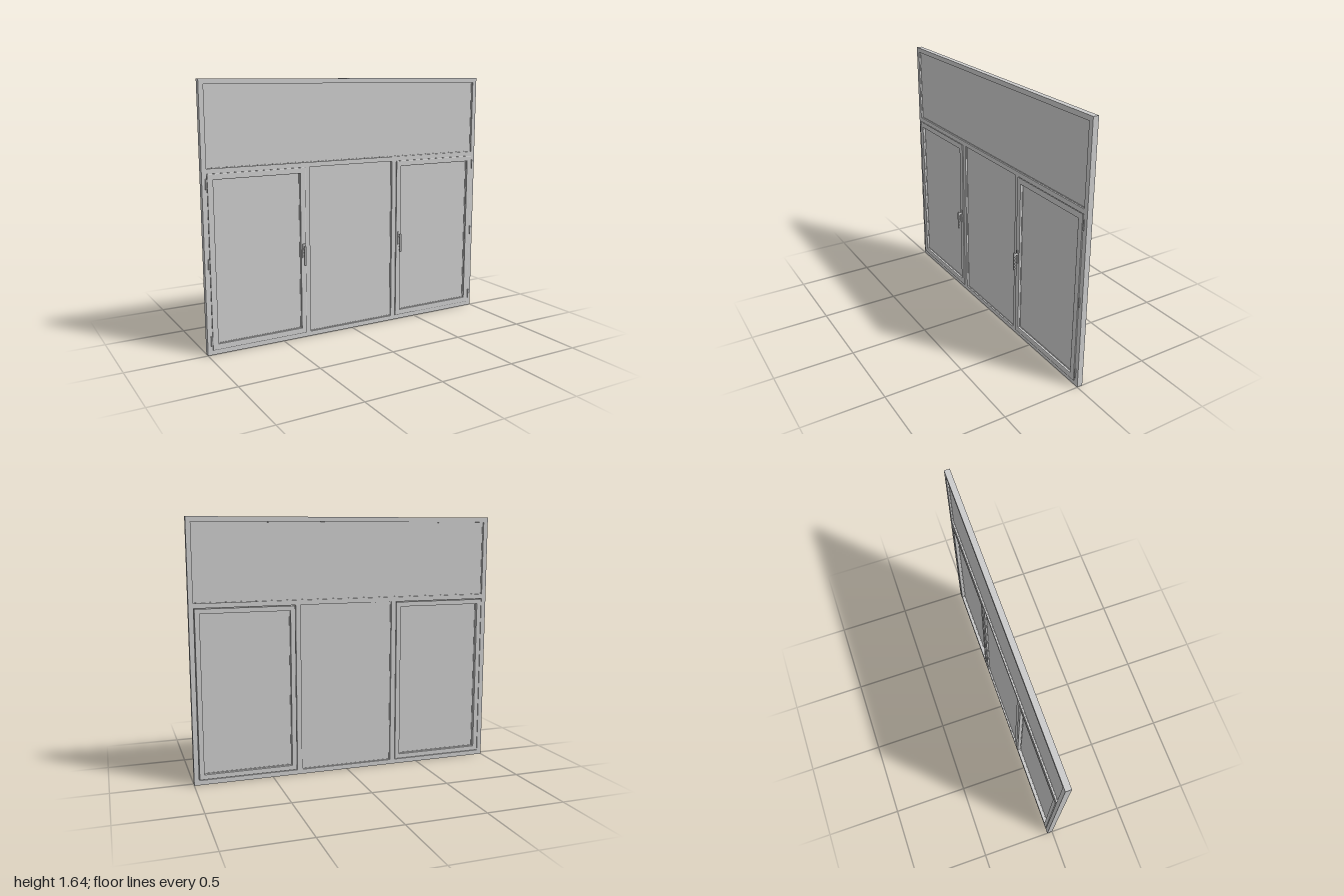
import * as THREE from 'three';

const material = new THREE.MeshStandardMaterial({ color: 0xcccccc });

function add(parent, geometry, name) {
  const mesh = new THREE.Mesh(geometry, material);
  mesh.name = name;
  parent.add(mesh);
  return mesh;
}

// Rectangles are [x0, y0, x1, y1]
function outline(target, [x0, y0, x1, y1]) {
  target.moveTo(x0, y0);
  target.lineTo(x1, y0);
  target.lineTo(x1, y1);
  target.lineTo(x0, y1);
  target.closePath();
  return target;
}

const inset = ([x0, y0, x1, y1], d) => [x0 + d, y0 + d, x1 - d, y1 - d];

// Flat slab from z0 to z1 with rectangular openings
function slab(parent, name, rect, holes, z0, z1) {
  const shape = outline(new THREE.Shape(), rect);
  for (const hole of holes) shape.holes.push(outline(new THREE.Path(), hole));
  const geometry = new THREE.ExtrudeGeometry(shape, { depth: z1 - z0, bevelEnabled: false });
  geometry.translate(0, 0, z0);
  return add(parent, geometry, name);
}

function box(parent, name, size, position) {
  const mesh = add(parent, new THREE.BoxGeometry(...size), name);
  mesh.position.set(...position);
  return mesh;
}

// Glass with a narrow gasket on both sides
function pane(parent, name, rect, z0, z1) {
  slab(parent, name, inset(rect, -0.004), [], z0, z1);
  const inner = inset(rect, 0.004);
  slab(parent, name + 'FrontGasket', inset(rect, -0.002), [inner], z1, z1 + 0.003);
  slab(parent, name + 'BackGasket', inset(rect, -0.002), [inner], z0 - 0.003, z0);
}

// Lever handle: base plate, neck and grip with finger waves
function handle(parent, x) {
  const group = new THREE.Group();
  group.name = 'handle';
  box(group, 'handlePlate', [0.015, 0.09, 0.005], [0, 0.575, 0.011]);
  const neck = add(group, new THREE.CylinderGeometry(0.0075, 0.009, 0.02, 16), 'handleNeck');
  neck.rotation.x = Math.PI / 2;
  neck.position.set(0, 0.593, 0.021);

  const profile = new THREE.Shape();
  profile.moveTo(0.026, 0.603);
  profile.lineTo(0.032, 0.61);
  profile.lineTo(0.038, 0.604);
  profile.lineTo(0.038, 0.488);
  profile.lineTo(0.035, 0.483);
  profile.lineTo(0.031, 0.485);
  for (let i = 0; i <= 32; i++) {
    const t = i / 32;
    profile.lineTo(0.0295 + 0.0018 * Math.cos(t * Math.PI * 8), 0.488 + 0.09 * t);
  }
  profile.lineTo(0.026, 0.583);
  const grip = new THREE.ExtrudeGeometry(profile, { depth: 0.012, bevelEnabled: false });
  grip.translate(0, 0, -0.006);
  grip.rotateY(-Math.PI / 2);
  add(group, grip, 'handleGrip');
  group.position.x = x;
  parent.add(group);
}

// Casement on one side (s = 1 or -1)
function casement(s) {
  const group = new THREE.Group();
  group.name = s > 0 ? 'leftCasement' : 'rightCasement';
  const mirror = ([x0, y0, x1, y1]) => (s > 0 ? [x0, y0, x1, y1] : [-x1, y0, -x0, y1]);
  const outer = mirror([0.34, 0.031, 0.968, 1.101]);
  const opening = mirror([0.373, 0.064, 0.935, 1.068]);

  // Sash body and its bevelled front lip
  slab(group, 'sashBody', inset(outer, 0.003), [opening], -0.038, 0.002);
  const lip = outline(new THREE.Shape(), inset(outer, 0.002));
  lip.holes.push(outline(new THREE.Path(), inset(opening, -0.002)));
  const lipGeometry = new THREE.ExtrudeGeometry(lip, {
    depth: 0.005, bevelEnabled: true, bevelThickness: 0.002, bevelSize: 0.003, bevelSegments: 1,
  });
  lipGeometry.translate(0, 0, 0.002);
  add(group, lipGeometry, 'sashLip');
  pane(group, 'sashGlass', opening, -0.015, -0.01);

  // Hinges on the outer edge
  for (const y of [0.088, 0.566, 1.043]) {
    const hinge = add(group, new THREE.CylinderGeometry(0.0045, 0.0045, 0.062, 12), 'hinge');
    hinge.position.set(s * 0.977, y, 0.004);
    box(group, 'hingeLeaf', [0.012, 0.05, 0.003], [s * 0.972, y, 0.002]);
  }
  handle(group, s * 0.358);
  return group;
}

export function createModel() {
  const model = new THREE.Group();
  model.name = 'window';

  // Fixed frame with top light, middle light and two casement openings
  const top = [-0.97, 1.132, 0.97, 1.615];
  const middle = [-0.307, 0.03, 0.307, 1.102];
  const left = [0.339, 0.03, 0.969, 1.102];
  const right = [-0.969, 0.03, -0.339, 1.102];
  slab(model, 'fixedFrame', [-1, 0, 1, 1.645], [top, middle, left, right], -0.036, 0);
  pane(model, 'topGlass', top, -0.024, -0.012);
  pane(model, 'middleGlass', middle, -0.024, -0.012);

  for (const s of [1, -1]) model.add(casement(s));
  return model;
}
